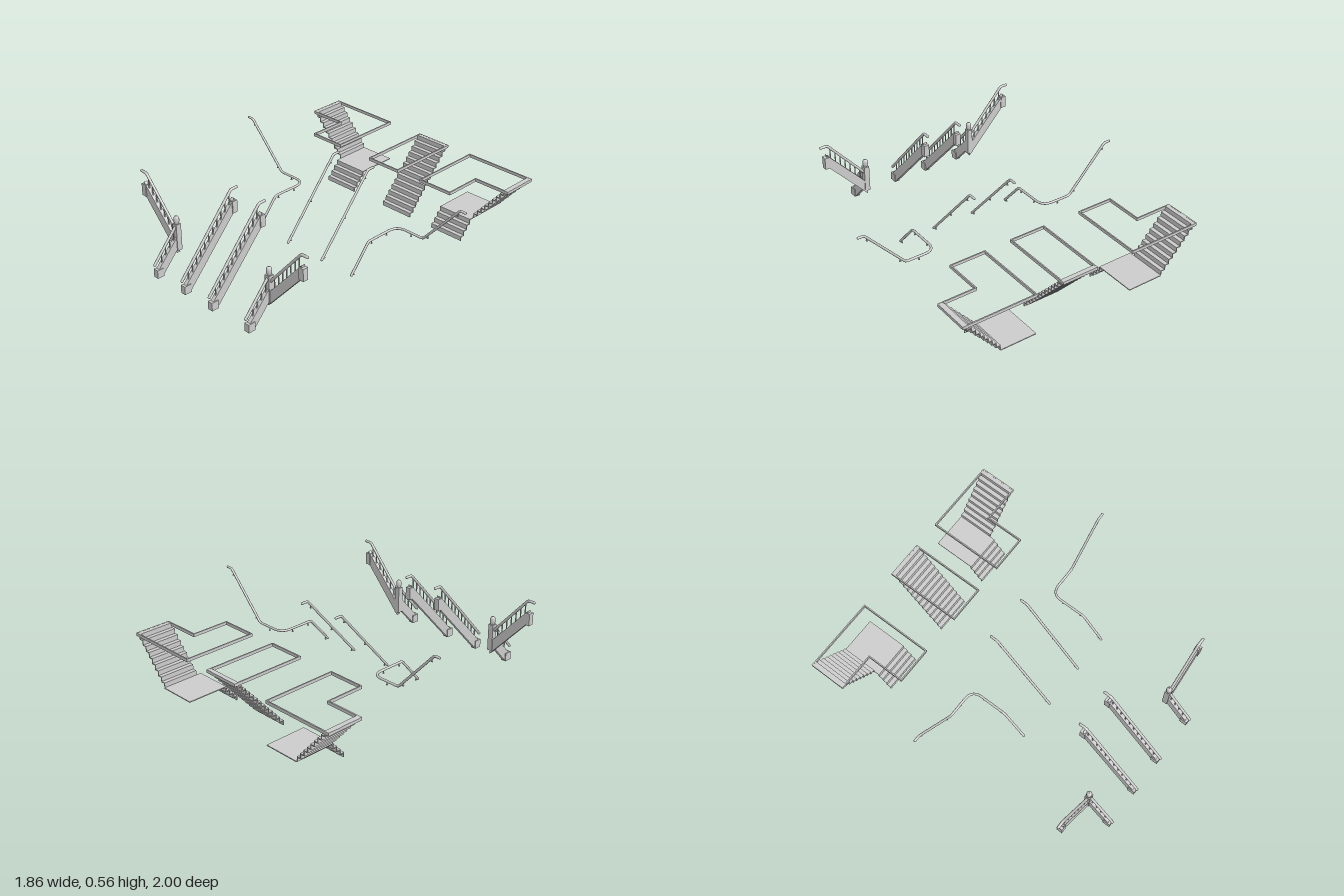
import * as THREE from 'three';

const mat = new THREE.MeshStandardMaterial({ color: 0xcccccc, side: THREE.DoubleSide });
const RISE = 0.0311, GOING = 0.0275, SHEET = 0.006;

function add(parent, name, geometry, x = 0, y = 0, z = 0, rotY = 0) {
  const mesh = new THREE.Mesh(geometry, mat);
  mesh.name = name;
  mesh.position.set(x, y, z);
  mesh.rotation.y = rotY;
  parent.add(mesh);
  return mesh;
}

const box = (w, h, d) => new THREE.BoxGeometry(w, h, d);
const toShape = pts => new THREE.Shape(pts.map(p => new THREE.Vector2(...p)));

// Profile in (x, y) extruded symmetrically about z = 0
function slab(pts, depth) {
  return new THREE.ExtrudeGeometry(toShape(pts), { depth, bevelEnabled: false })
    .translate(0, 0, -depth / 2);
}

// Round bar along a polyline with softened corners and closed ends
function bar(parent, name, points, radius, bend) {
  const p = points.map(a => new THREE.Vector3(...a));
  const path = new THREE.CurvePath();
  let last = p[0];
  for (let i = 1; i < p.length - 1; i++) {
    const r = Array.isArray(bend) ? bend[i - 1] : bend;
    const a = p[i].clone().add(p[i - 1].clone().sub(p[i]).setLength(r));
    const b = p[i].clone().add(p[i + 1].clone().sub(p[i]).setLength(r));
    path.add(new THREE.LineCurve3(last, a));
    path.add(new THREE.QuadraticBezierCurve3(a, p[i], b));
    last = b;
  }
  path.add(new THREE.LineCurve3(last, p[p.length - 1]));
  add(parent, name, new THREE.TubeGeometry(path, 100, radius, 10, false));
  for (const e of [p[0], p[p.length - 1]])
    add(parent, name + 'End', new THREE.SphereGeometry(radius, 10, 6), e.x, e.y, e.z);
}

// Folded sheet of steps climbing towards +x
function flight(parent, name, n, width, lastTread, x, y, z, rotY) {
  const top = [], under = [];
  for (let k = 0; k < n; k++) {
    const end = k === n - 1 ? k * GOING + lastTread : (k + 1) * GOING;
    top.push([k * GOING, k * RISE], [k * GOING, (k + 1) * RISE]);
    under.push([k * GOING + SHEET, Math.max(0, k * RISE - (k ? SHEET : 0))],
      [k * GOING + SHEET, (k + 1) * RISE - SHEET]);
    if (k === n - 1) {
      top.push([end, (k + 1) * RISE]);
      under.push([end, (k + 1) * RISE - SHEET]);
    }
  }
  add(parent, name, slab([...top, ...under.reverse()], width), x, y, z, rotY);
}

// Floor opening trim, outlines given in (x, -z)
function frame(parent, outer, inner) {
  const shape = toShape(outer);
  shape.holes.push(new THREE.Path(inner.map(p => new THREE.Vector2(...p))));
  const g = new THREE.ExtrudeGeometry(shape, { depth: 0.02, bevelEnabled: false });
  add(parent, 'openingFrame', g.rotateX(-Math.PI / 2), 0, 0.385, 0);
}

// Heights of stringer and rail at distance s from the top block
const lower = s => 0.405 - 1.09 * s;
const upper = s => 0.49 - 1.09 * s;
const railY = s => 0.551 - 1.128 * Math.max(0, s - 0.012);

// Balustrade falling towards +x, cut to the range s0..s1
function balustrade(name, s0, s1, hasTop, hasFoot) {
  const g = new THREE.Group();
  g.name = name;
  const low = hasFoot ? [[0.371, 0], [s1, 0]] : [[s1, lower(s1)]];
  add(g, 'stringer', slab([[s0, lower(s0)], ...low, [s1, upper(s1)], [s0, upper(s0)]], 0.026));
  if (hasTop) add(g, 'topBlock', box(0.037, 0.08, 0.037), 0, 0.435, 0);
  if (hasFoot) add(g, 'footBlock', box(0.05, 0.055, 0.037), 0.391, 0.0275, 0);
  const end = hasFoot ? 0.42 : s1;
  const pts = hasTop ? [[-0.033, 0.551, 0], [0.012, 0.551, 0]] : [[s0, railY(s0), 0]];
  bar(g, 'handrail', [...pts, [end, railY(end), 0]], 0.009, 0.012);
  for (let s = s0 + 0.03; s < s1 - 0.012; s += 0.034) {
    const a = upper(s) - 0.006, b = railY(s);
    add(g, 'baluster', new THREE.CylinderGeometry(0.004, 0.004, b - a, 8), s, (a + b) / 2, 0);
  }
  return g;
}

function place(parent, g, x, z, rotY) {
  g.position.set(x, 0, z);
  g.rotation.y = rotY;
  parent.add(g);
}

// Short support under a wall rail
function bracket(parent, x, y, z) {
  add(parent, 'railBracket', new THREE.CylinderGeometry(0.003, 0.003, 0.02, 6), x, y - 0.013, z);
  add(parent, 'bracketFoot', box(0.009, 0.005, 0.009), x, y - 0.022, z);
}

export function createModel() {
  const model = new THREE.Group();
  model.name = 'staircaseSet';

  // Straight staircase
  const straight = new THREE.Group();
  straight.name = 'straightStair';
  model.add(straight);
  flight(straight, 'steps', 13, 0.24, 0.03, -0.0225, 0, -0.64, Math.PI / 2);
  frame(straight, [[-0.147, 0.5], [0.102, 0.5], [0.102, 1], [-0.147, 1]],
    [[-0.139, 0.508], [0.094, 0.508], [0.094, 0.992], [-0.139, 0.992]]);

  // Pair of quarter-turn staircases
  for (const side of [-1, 1]) {
    const g = new THREE.Group();
    g.name = side < 0 ? 'rightTurnStair' : 'leftTurnStair';
    model.add(g);
    const X = d => -0.0625 + side * d;
    flight(g, 'lowerSteps', 4, 0.245, GOING, X(0.467), 0, -0.64, Math.PI / 2);
    add(g, 'landing', box(0.245, SHEET, 0.25), X(0.467), 4 * RISE - SHEET / 2, -0.875);
    flight(g, 'upperSteps', 9, 0.24, 0.034, X(0.5895), 4 * RISE, -0.877, side < 0 ? Math.PI : 0);
    const outline = (o) => [[X(0.345 + o), 1 - o], [X(0.843 - o), 1 - o], [X(0.843 - o), 0.755 + o],
      [X(0.592 - o), 0.755 + o], [X(0.592 - o), 0.503 + o], [X(0.345 + o), 0.503 + o]];
    frame(g, outline(0), outline(0.008));
  }

  // Straight wall rails
  for (const x of [-0.14, 0.155]) {
    const g = new THREE.Group();
    g.name = 'straightWallRail';
    model.add(g);
    bar(g, 'wallRail', [[x, 0.552, -0.21], [x, 0.552, -0.165], [x, 0.083, 0.237]], 0.008, 0.012);
    for (const t of [0.06, 0.5, 0.94])
      bracket(g, x, 0.552 - 0.469 * t, -0.165 + 0.402 * t);
  }

  // Turning wall rails
  for (const s of [-1, 1]) {
    const g = new THREE.Group();
    g.name = 'turningWallRail';
    model.add(g);
    bar(g, 'wallRail', [[s * 0.92, 0.552, -0.162], [s * 0.882, 0.552, -0.162], [s * 0.612, 0.256, -0.162],
      [s * 0.404, 0.256, -0.162], [s * 0.404, 0.256, 0.09], [s * 0.404, 0.083, 0.237]],
    0.008, [0.012, 0.015, 0.075, 0.015]);
    for (const [x, y, z] of [[0.865, 0.533, -0.162], [0.65, 0.298, -0.162], [0.52, 0.256, -0.162],
      [0.404, 0.256, -0.07], [0.404, 0.256, 0.065], [0.404, 0.105, 0.218]]) bracket(g, s * x, y, z);
  }

  // Straight balustrades
  for (const x of [-0.255, -0.01])
    place(model, balustrade('straightBalustrade', 0, 0.41, true, true), x, 0.574, -Math.PI / 2);

  // Corner balustrades, two runs meeting at a newel post
  for (const s of [-1, 1]) {
    const g = new THREE.Group();
    g.name = 'cornerBalustrade';
    model.add(g);
    const x = -0.1025 + s * 0.4085, z = 0.808;
    place(g, balustrade('lowerRun', 0.234, 0.41, false, true), x, 0.574, -Math.PI / 2);
    place(g, balustrade('upperRun', 0, 0.278, true, false), x + s * 0.278, z, s > 0 ? Math.PI : 0);
    add(g, 'newelPost', box(0.036, 0.18, 0.036), x, 0.215, z);
    const cap = [[0, 0.3], [0.013, 0.3], [0.013, 0.313], [0.018, 0.32], [0.018, 0.343], [0.011, 0.355], [0, 0.358]];
    const lathe = new THREE.LatheGeometry(cap.map(p => new THREE.Vector2(...p)), 12);
    add(g, 'newelCap', lathe, x, 0, z);
  }
  return model;
}
